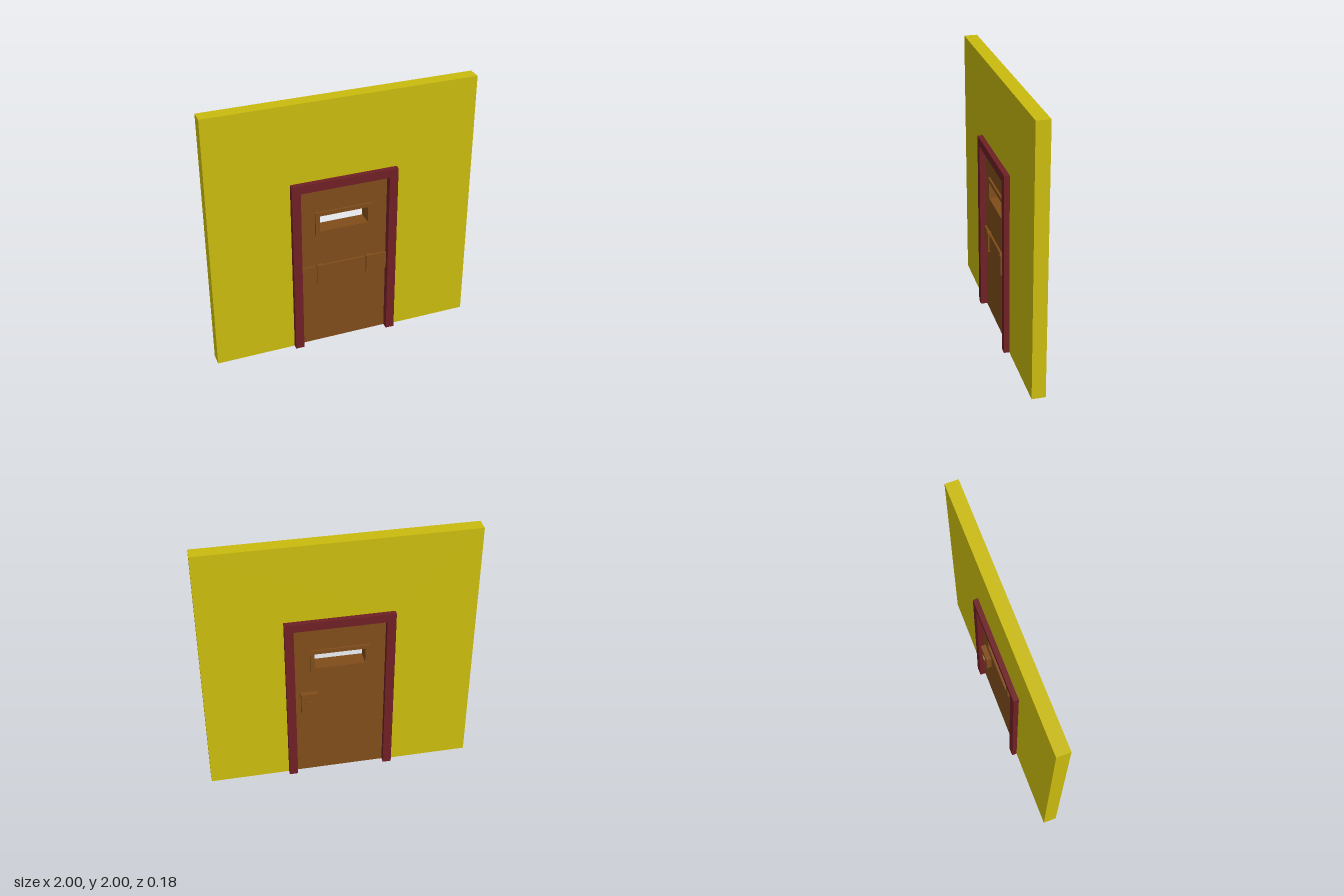
import * as THREE from 'three';

const WALL = new THREE.MeshStandardMaterial({ color: 0xcabb0e, flatShading: true });
const FRAME = new THREE.MeshStandardMaterial({ color: 0x6e2024, flatShading: true });
const WOOD = new THREE.MeshStandardMaterial({ color: 0x804c1a, flatShading: true });

// Arch outline: a rectangle standing on the floor with a doorway cut from it
function archShape(w, h, iw, ih) {
  return new THREE.Shape([
    [-w, 0], [-iw, 0], [-iw, ih], [iw, ih], [iw, 0], [w, 0], [w, h], [-w, h],
  ].map(([x, y]) => new THREE.Vector2(x, y)));
}

// Rectangle with a rectangular hole; bounds are [halfWidth, bottom, top]
function panelShape([w, y0, y1], [hw, h0, h1]) {
  const corners = (a, b, c) =>
    [[-a, b], [a, b], [a, c], [-a, c]].map(([x, y]) => new THREE.Vector2(x, y));
  const shape = new THREE.Shape(corners(w, y0, y1));
  shape.holes.push(new THREE.Path(corners(hw, h0, h1).reverse()));
  return shape;
}

export function createModel() {
  const model = new THREE.Group();

  const add = (parent, name, geometry, material) => {
    const mesh = new THREE.Mesh(geometry, material);
    mesh.name = name;
    parent.add(mesh);
    return mesh;
  };
  const extrude = (parent, name, shape, z0, z1, material) =>
    add(parent, name,
      new THREE.ExtrudeGeometry(shape, { depth: z1 - z0, bevelEnabled: false }).translate(0, 0, z0),
      material);
  const box = (parent, name, [x0, x1], [y0, y1], [z0, z1]) =>
    add(parent, name, new THREE.BoxGeometry(x1 - x0, y1 - y0, z1 - z0), WOOD)
      .position.set((x0 + x1) / 2, (y0 + y1) / 2, (z0 + z1) / 2);

  // Wall and the frame lining its doorway
  extrude(model, 'wall', archShape(1, 2, 0.38, 1.38), -0.05, 0.05, WALL);
  extrude(model, 'doorFrame', archShape(0.4, 1.4, 0.335, 1.335), -0.088, 0.09, FRAME);

  // Door leaf with its viewing slot, trimmed on both faces
  const door = new THREE.Group();
  door.name = 'door';
  model.add(door);
  const slot = [0.185, 0.98, 1.105];
  extrude(door, 'doorLeaf', panelShape([0.335, 0, 1.335], slot), -0.045, 0.04, WOOD);
  const trim = panelShape([0.217, 0.945, 1.135], slot);
  extrude(door, 'slotTrimFront', trim, 0.04, 0.055, WOOD);
  extrude(door, 'slotTrimBack', trim, -0.06, -0.045, WOOD);

  // Bar across the front, held by two brackets
  box(door, 'crossBar', [-0.335, 0.335], [0.55, 0.685], [0.04, 0.056]);
  for (const s of [-1, 1]) {
    box(door, 'barBracket', [s * 0.193 - 0.022, s * 0.193 + 0.022], [0.54, 0.695], [0.04, 0.07]);
  }

  // Lock case and round knob on the back
  box(door, 'lockCase', [0.168, 0.292], [0.585, 0.76], [-0.083, -0.045]);
  const knob = add(door, 'lockKnob', new THREE.CylinderGeometry(0.03, 0.03, 0.011, 16), WOOD);
  knob.rotation.x = Math.PI / 2;
  knob.position.set(0.23, 0.672, -0.0875);

  return model;
}
